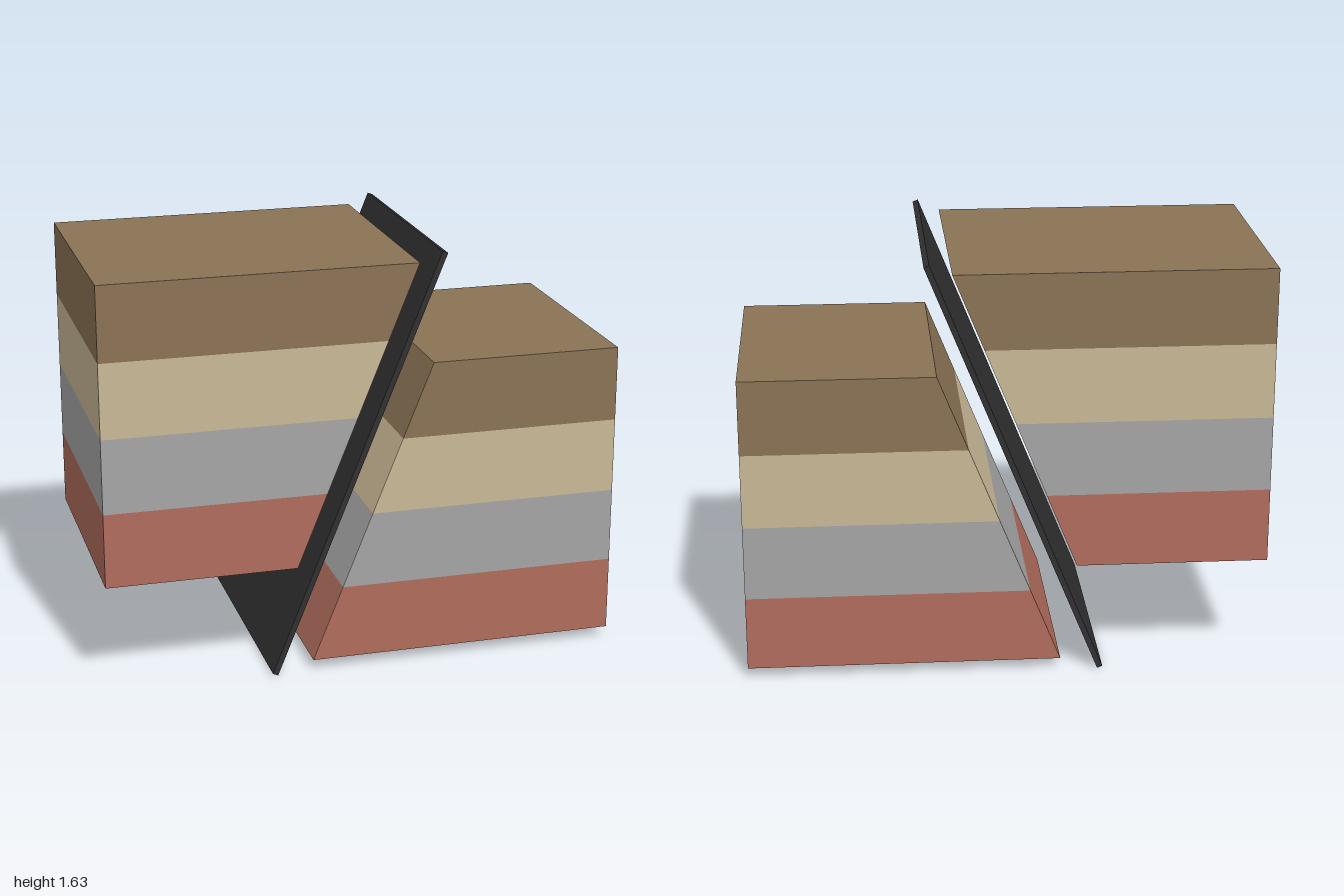
import * as THREE from 'three';

const TILT = THREE.MathUtils.degToRad(22); // lean of the fault from vertical
const LAYER = 0.29;                        // thickness of one stratum
const DEPTH = 0.97;
const STRATA = [
  ['redLayer', 0xb06c5c],
  ['greyLayer', 0xa5a5a5],
  ['sandLayer', 0xc9b896],
  ['soilLayer', 0x8b7355],
];

const material = (color) => new THREE.MeshStandardMaterial({ color, flatShading: true });

// Stack of strata between a vertical outer wall and the sloping fault face
function rockBlock(name, outerX, faceX, baseY) {
  const block = new THREE.Group();
  block.name = name;
  const run = LAYER * Math.tan(TILT);
  STRATA.forEach(([layerName, color], i) => {
    const y = baseY + i * LAYER;
    const x = faceX + i * run;
    const section = new THREE.Shape([
      new THREE.Vector2(outerX, y),
      new THREE.Vector2(x, y),
      new THREE.Vector2(x + run, y + LAYER),
      new THREE.Vector2(outerX, y + LAYER),
    ]);
    const geometry = new THREE.ExtrudeGeometry(section, { depth: DEPTH, bevelEnabled: false });
    geometry.translate(0, 0, -DEPTH / 2);
    const layer = new THREE.Mesh(geometry, material(color));
    layer.name = layerName;
    block.add(layer);
  });
  return block;
}

export function createModel() {
  const model = new THREE.Group();
  model.name = 'geologicalFault';

  // Raised and dropped blocks
  model.add(rockBlock('raisedBlock', -1, -0.265, 0.43));
  model.add(rockBlock('droppedBlock', 1, -0.205, 0.042));

  // Thin dark sheet marking the fault plane
  const plane = new THREE.Mesh(new THREE.BoxGeometry(0.022, 1.75, 0.99), material(0x303030));
  plane.name = 'faultPlane';
  plane.position.set(-0.03, 0.815, 0);
  plane.rotation.z = -TILT;
  model.add(plane);

  return model;
}
